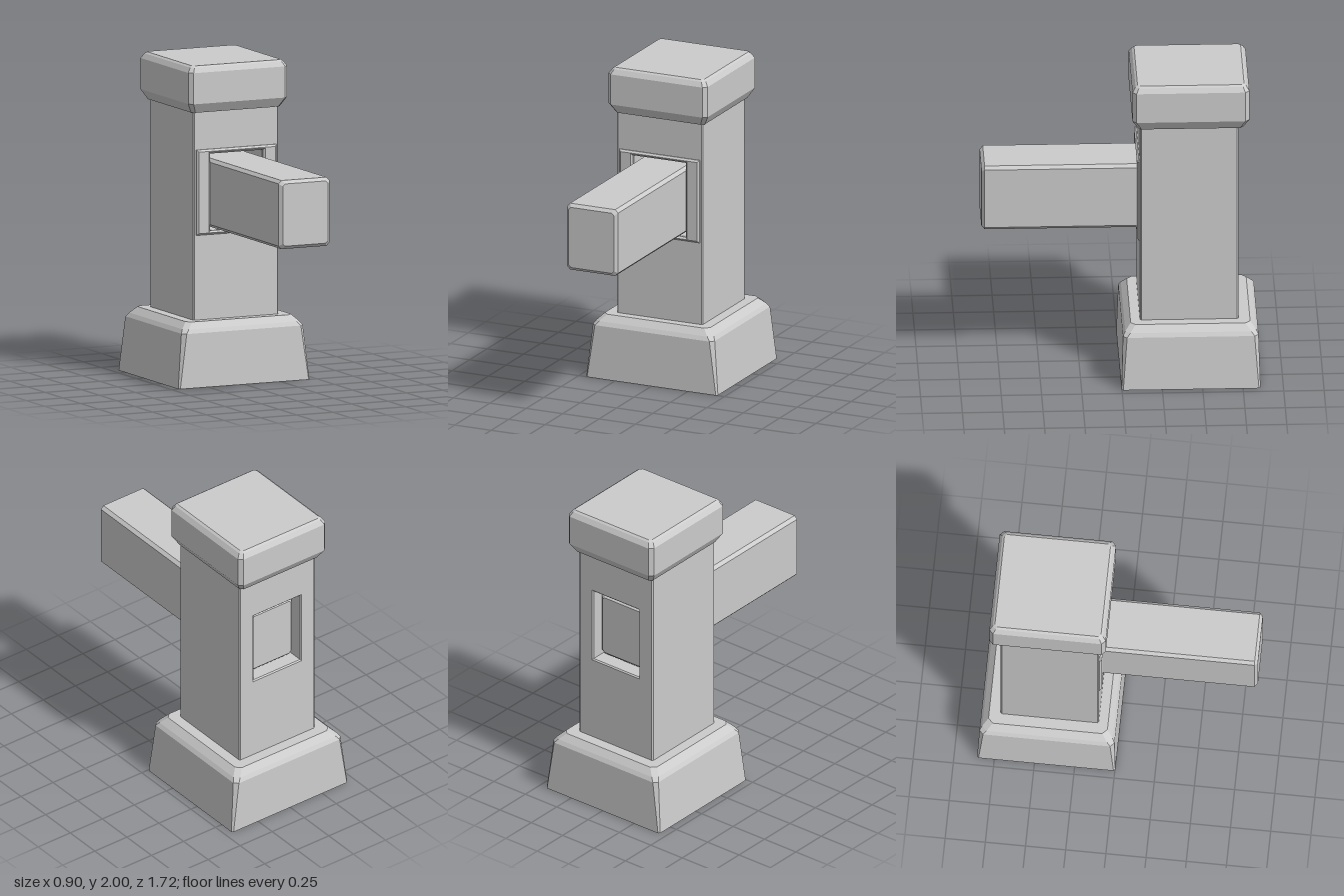
import * as THREE from 'three';

const material = new THREE.MeshStandardMaterial({ color: 0xcccccc, flatShading: true });

// Solid through stacked rectangles with cut corners: [height, halfWidth, halfDepth, corner]
function loft(sections) {
  const pos = [], index = [];
  for (const [y, w, d, c] of sections) {
    for (const [x, z] of [[w, -d + c], [w, d - c], [w - c, d], [c - w, d],
      [-w, d - c], [-w, c - d], [c - w, -d], [w - c, -d]]) pos.push(x, y, z);
  }
  const last = (sections.length - 1) * 8;
  for (let s = 0; s < last; s += 8) {
    for (let i = 0; i < 8; i++) {
      const j = (i + 1) % 8, a = s + i, b = s + j;
      index.push(a, a + 8, b + 8, a, b + 8, b);
    }
  }
  for (let i = 1; i < 7; i++) index.push(0, i, i + 1, last, last + i + 1, last + i);
  const indexed = new THREE.BufferGeometry();
  indexed.setAttribute('position', new THREE.Float32BufferAttribute(pos, 3));
  indexed.setIndex(index);
  const geometry = indexed.toNonIndexed();
  geometry.computeVertexNormals();
  return geometry;
}

function rect(Type, w, y0, y1) {
  return new Type([[-w, y0], [w, y0], [w, y1], [-w, y1]].map(p => new THREE.Vector2(...p)));
}

// Upright slab with a rectangular through opening, from zBack to zFront
function piercedSlab(w, y0, y1, zBack, zFront, bevel) {
  const shape = rect(THREE.Shape, w, y0, y1);
  shape.holes.push(rect(THREE.Path, 0.182, 0.96, 1.442));
  const geometry = new THREE.ExtrudeGeometry(shape, {
    depth: zFront - zBack - 2 * bevel, bevelEnabled: true, bevelSegments: 1,
    bevelThickness: bevel, bevelSize: bevel, bevelOffset: -bevel,
  });
  return geometry.translate(0, 0, zBack + bevel);
}

export function createModel() {
  const model = new THREE.Group();
  const add = (name, geometry, x = 0, y = 0, z = 0) => {
    const mesh = new THREE.Mesh(geometry, material);
    mesh.name = name;
    mesh.position.set(x, y, z);
    model.add(mesh);
  };

  // Flared foot with a sloping shoulder
  add('base', loft([
    [0, 0.452, 0.43, 0.01], [0.34, 0.418, 0.42, 0.025],
    [0.365, 0.402, 0.405, 0.03], [0.405, 0.362, 0.37, 0.03],
  ]), 0, 0, -0.428);

  // Square post with a slot running right through
  add('post', piercedSlab(0.294, 0.38, 1.73, -0.727, -0.117, 0.008));

  // Slightly raised surround at the front of the slot
  add('slotSurround', piercedSlab(0.275, 0.935, 1.47, -0.13, -0.1, 0.012));

  // Chamfered block on top
  add('cap', loft([
    [1.705, 0.305, 0.325, 0.02], [1.765, 0.34, 0.362, 0.025],
    [1.96, 0.34, 0.362, 0.025], [1.99, 0.32, 0.343, 0.02], [2, 0.306, 0.33, 0.015],
  ]), 0, 0, -0.432);

  // Beam held in the slot, its rear end set back inside the post
  const beam = loft([
    [-0.665, 0.155, 0.195, 0.015], [-0.645, 0.175, 0.215, 0.02],
    [0.84, 0.175, 0.215, 0.02], [0.86, 0.155, 0.195, 0.015],
  ]).rotateX(Math.PI / 2);
  add('beam', beam, 0, 1.19, 0);

  return model;
}
